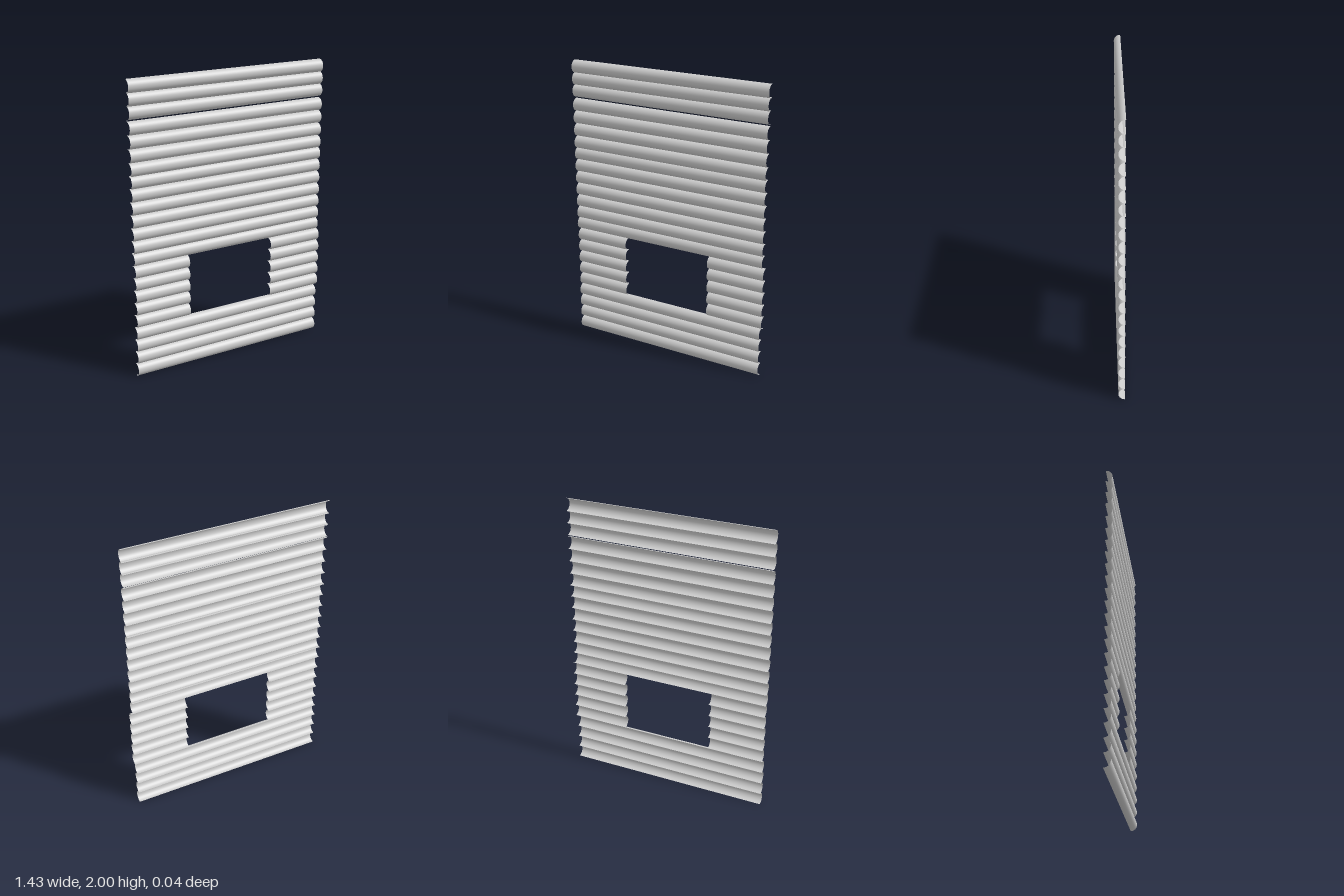
import * as THREE from 'three';

const RADIUS = 0.044;
const material = new THREE.MeshStandardMaterial({ color: 0xcccccc, side: THREE.DoubleSide });

// Half-round open slat lying along x, bulging to +z, with its lower edge at y
function slat(name, x0, x1, y) {
  const geometry = new THREE.CylinderGeometry(
    RADIUS, RADIUS, x1 - x0, 16, 1, true, -Math.PI / 2, Math.PI);
  geometry.rotateZ(Math.PI / 2);
  const mesh = new THREE.Mesh(geometry, material);
  mesh.name = name;
  mesh.position.set((x0 + x1) / 2, y + RADIUS, -RADIUS / 2);
  return mesh;
}

// Stack of equal slats
function stack(name, x0, x1, y, count, pitch) {
  const group = new THREE.Group();
  group.name = name;
  for (let i = 0; i < count; i++) group.add(slat('slat', x0, x1, y + i * pitch));
  return group;
}

export function createModel() {
  const wall = new THREE.Group();
  wall.name = 'slattedWall';
  const left = -0.717, right = 0.705;

  // Full-width slats below the opening
  wall.add(stack('lowerWall', left, right, 0, 4, 0.0883));

  // Short slats on both sides of the opening
  wall.add(stack('windowSideRight', -0.713, -0.32, 0.353, 5, 0.0873));
  wall.add(stack('windowSideLeft', 0.312, 0.717, 0.353, 5, 0.0873));

  // Full-width slats above the opening, slightly overlapping between stacks
  wall.add(stack('lintel', left, right, 0.79, 1, 0));
  wall.add(stack('middleWall', left, right, 0.872, 6, 0.0868));
  wall.add(stack('upperWall', left, right, 1.387, 4, 0.088));

  // Top stack, set off by a narrow gap
  wall.add(stack('topWall', left, right, 1.748, 3, 0.082));
  return wall;
}
